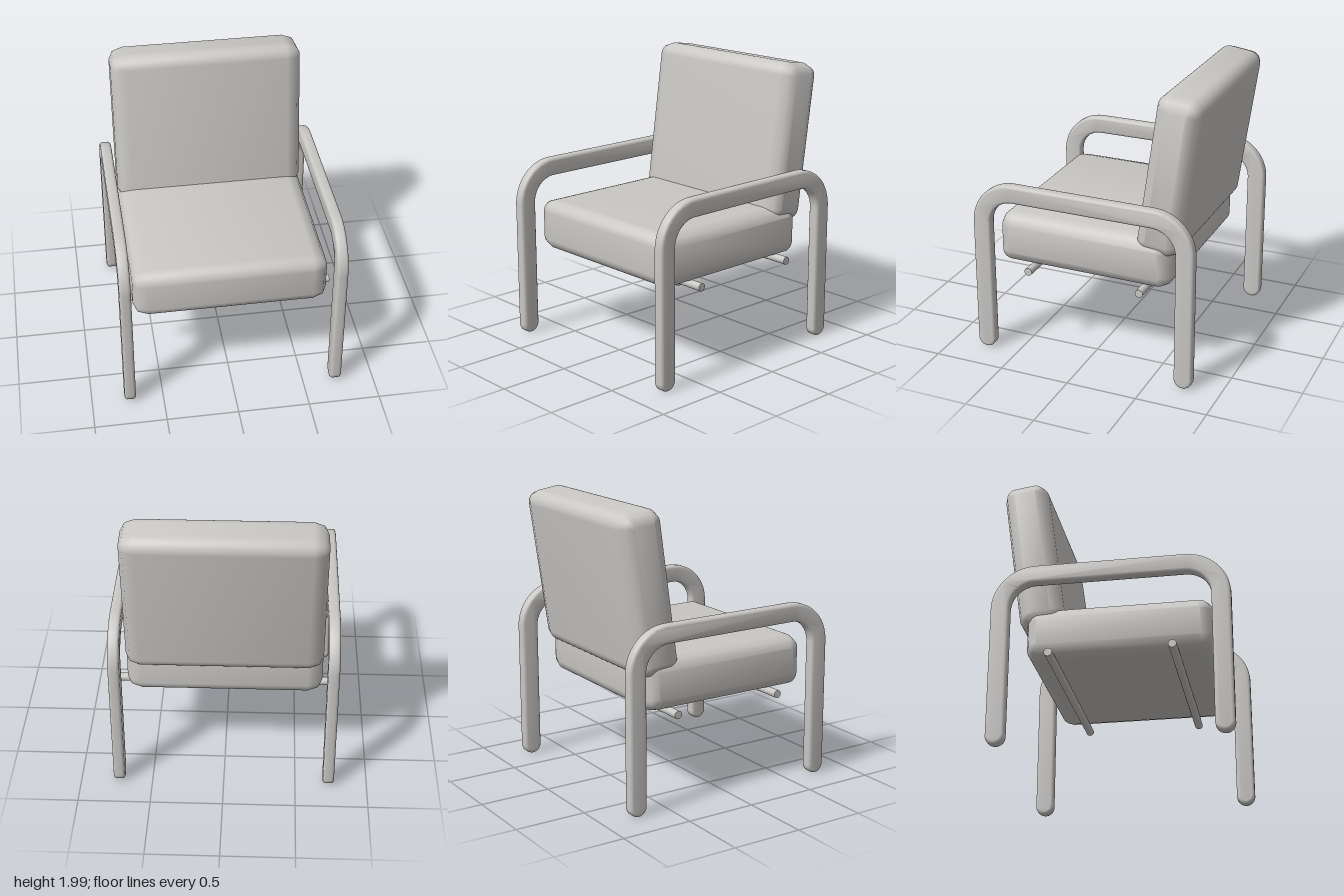
import * as THREE from 'three';
import { toCreasedNormals } from 'three/addons/utils/BufferGeometryUtils.js';

// Extrude a side profile (drawn in z, y) across x, centred, with rounded edges.
function extrudeAcross(shape, width, bevelSize, bevelThickness, bevelSegments, curveSegments) {
  const depth = width - 2 * bevelThickness;
  const geo = new THREE.ExtrudeGeometry(shape, {
    depth, bevelEnabled: true, bevelSize, bevelThickness,
    bevelOffset: -bevelSize, bevelSegments, curveSegments,
  });
  geo.translate(0, 0, -depth / 2);
  geo.rotateY(-Math.PI / 2);
  return toCreasedNormals(geo, 0.9);
}

// Rounded rectangle centred on the origin.
function roundedRect(w, h, r) {
  const s = new THREE.Shape();
  const x = w / 2 - r, y = h / 2 - r;
  s.absarc(x, y, r, 0, Math.PI / 2);
  s.absarc(-x, y, r, Math.PI / 2, Math.PI);
  s.absarc(-x, -y, r, Math.PI, Math.PI * 1.5);
  s.absarc(x, -y, r, Math.PI * 1.5, Math.PI * 2);
  return s;
}

// Upside-down U: two round-footed legs joined by an armrest.
function framePath() {
  const outer = 0.803, inner = 0.675, top = 1.265;
  const R = 0.3, t = outer - inner, foot = t / 2, mid = (outer + inner) / 2;
  const cz = outer - R, cy = top - R;
  const s = new THREE.Shape();
  s.moveTo(outer, foot);
  s.absarc(cz, cy, R, 0, Math.PI / 2);
  s.absarc(-cz, cy, R, Math.PI / 2, Math.PI);
  s.absarc(-mid, foot, foot, Math.PI, Math.PI * 2);
  s.absarc(-cz, cy, R - t, Math.PI, Math.PI / 2, true);
  s.absarc(cz, cy, R - t, Math.PI / 2, 0, true);
  s.absarc(mid, foot, foot, Math.PI, Math.PI * 2);
  return s;
}

export function createModel() {
  const group = new THREE.Group();
  group.name = 'armchair';
  const grey = new THREE.MeshStandardMaterial({ color: 0xcac8c5 });
  grey.name = 'warm light grey';

  const add = (name, geo, x, y, z) => {
    const mesh = new THREE.Mesh(geo, grey);
    mesh.name = name;
    mesh.position.set(x, y, z);
    group.add(mesh);
    return mesh;
  };

  // Seat and reclined back cushions
  const cushion = (depth, height) =>
    extrudeAcross(roundedRect(depth, height, 0.09), 1.34, 0.08, 0.1, 2, 8);
  add('seatCushion', cushion(1.26, 0.36), 0, 0.82, 0.04);
  add('backCushion', cushion(0.31, 1.11), 0, 1.435, -0.557).rotation.x = -0.14;

  // Side frames
  const frame = extrudeAcross(framePath(), 0.078, 0.02, 0.02, 3, 12);
  add('leftFrame', frame, 0.732, 0, 0);
  add('rightFrame', frame, -0.732, 0, 0);

  // Cross rods under the seat
  const rod = new THREE.CylinderGeometry(0.028, 0.028, 1.466, 20);
  rod.rotateZ(Math.PI / 2);
  add('frontRod', rod, 0, 0.633, 0.41);
  add('rearRod', rod, 0, 0.633, -0.41);

  return group;
}
